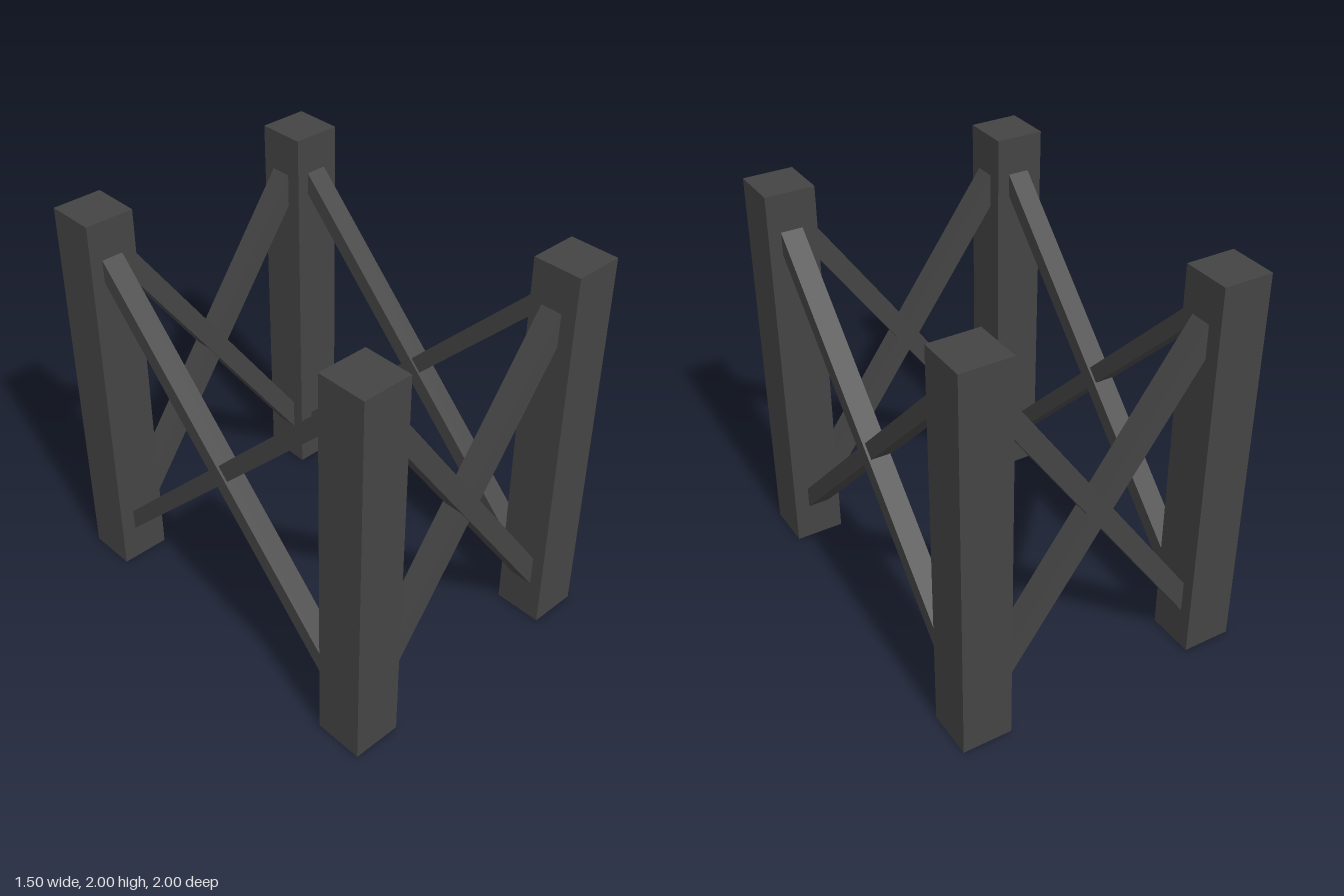
import * as THREE from 'three';

const POST = 0.25;        // square post width
const BRACE_DEPTH = 0.11; // brace thickness through the frame
const STAGGER = 0.006;    // crossing braces sit slightly in front of each other

// Slanted bar with vertical ends, running a little way into the posts
function braceGeometry(halfSpan, rise, thickness) {
  const x = halfSpan + 0.03;
  const y = rise * x / halfSpan;
  const t = thickness / 2;
  const shape = new THREE.Shape([
    new THREE.Vector2(-x, y - t),
    new THREE.Vector2(x, -y - t),
    new THREE.Vector2(x, -y + t),
    new THREE.Vector2(-x, y + t),
  ]);
  return new THREE.ExtrudeGeometry(shape, { depth: BRACE_DEPTH, bevelEnabled: false })
    .translate(0, 0, -BRACE_DEPTH / 2);
}

export function createModel() {
  const model = new THREE.Group();
  model.name = 'crossBracedFrame';
  const charcoal = new THREE.MeshStandardMaterial({ color: 0x444444 });
  charcoal.name = 'charcoal';

  // Four corner posts
  const postGeometry = new THREE.BoxGeometry(POST, 2, POST);
  for (const sx of [-1, 1]) {
    for (const sz of [-1, 1]) {
      const post = new THREE.Mesh(postGeometry, charcoal);
      post.name = (sz > 0 ? 'front' : 'back') + (sx > 0 ? 'Left' : 'Right') + 'Post';
      post.position.set(sx * 0.625, 1, sz * 0.875);
      model.add(post);
    }
  }

  // An X of two braces on each side, turned around the frame
  const narrow = braceGeometry(0.5, 0.705, 0.17);
  const wide = braceGeometry(0.75, 0.75, 0.115);
  ['front', 'left', 'back', 'right'].forEach((side, i) => {
    const geometry = i % 2 ? wide : narrow;
    const cross = new THREE.Group();
    cross.name = side + 'CrossBrace';

    const outer = new THREE.Mesh(geometry, charcoal);
    outer.name = side + 'OuterBrace';
    outer.position.z = STAGGER;

    const inner = new THREE.Mesh(geometry, charcoal);
    inner.name = side + 'InnerBrace';
    inner.rotation.y = Math.PI;
    inner.position.z = -STAGGER;

    cross.add(outer, inner);
    const angle = i * Math.PI / 2;
    const distance = i % 2 ? 0.625 : 0.875;
    cross.rotation.y = angle;
    cross.position.set(Math.sin(angle) * distance, 1, Math.cos(angle) * distance);
    model.add(cross);
  });

  return model;
}
